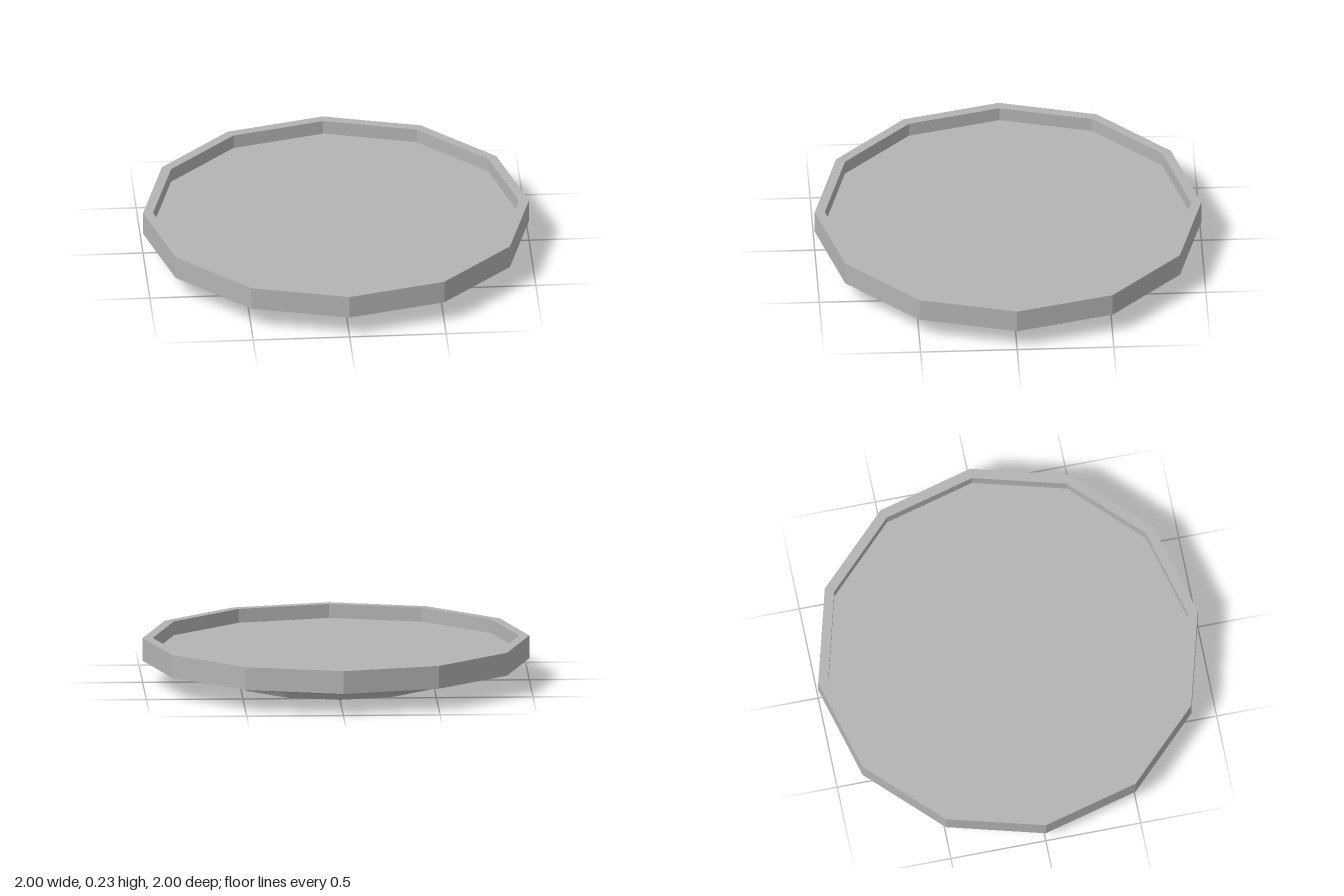
import * as THREE from 'three';

const SIDES = 12;

export function createModel() {
  const group = new THREE.Group();
  group.name = 'plate';
  const grey = new THREE.MeshStandardMaterial({ color: 0xb4b4b4, flatShading: true });
  grey.name = 'plain grey';

  // Revolve a profile of [radius, height] points, listed from the underside outwards and up
  const addRing = (name, profile) => {
    const points = profile.map(([r, y]) => new THREE.Vector2(r, y));
    const mesh = new THREE.Mesh(new THREE.LatheGeometry(points, SIDES), grey);
    mesh.name = name;
    group.add(mesh);
  };

  // Flat base with a slightly flared foot wall
  addRing('foot', [[0, 0], [0.545, 0], [0.565, 0.03]]);
  // Shallow sloping underside
  addRing('underside', [[0.565, 0.03], [1, 0.113]]);
  // Upright edge, flat lip and inner wall
  addRing('rim', [[1, 0.113], [1, 0.233], [0.948, 0.233], [0.948, 0.16]]);

  // Sunken flat floor
  const floor = new THREE.Mesh(new THREE.CircleGeometry(0.948, SIDES).rotateX(-Math.PI / 2), grey);
  floor.name = 'floor';
  floor.position.y = 0.16;
  group.add(floor);

  return group;
}
